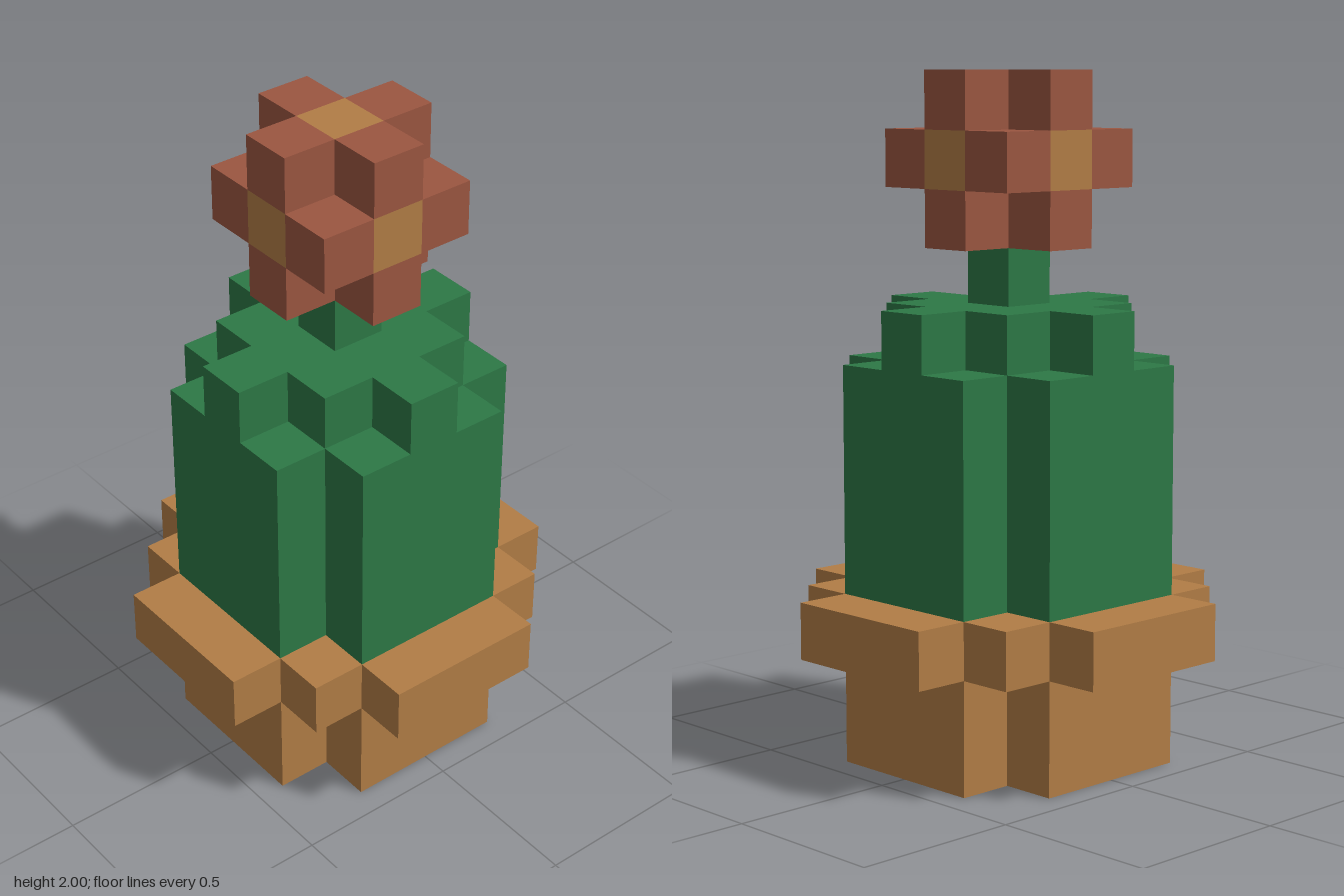
import * as THREE from 'three';

const U = 1 / 6; // one block

const material = (name, color) => {
  const m = new THREE.MeshStandardMaterial({ color });
  m.name = name;
  return m;
};

// Stepped slab: one quadrant's outline corners (in blocks), turned four times, raised from y0 to y1
function slab(name, corners, y0, y1, mat) {
  const points = [];
  for (let turn = 0; turn < 4; turn++) {
    for (const [x, y] of corners) {
      points.push(new THREE.Vector2(x, y).rotateAround(new THREE.Vector2(), turn * Math.PI / 2));
    }
  }
  const geo = new THREE.ExtrudeGeometry(new THREE.Shape(points), { depth: y1 - y0, bevelEnabled: false });
  geo.rotateX(-Math.PI / 2).translate(0, y0, 0).scale(U, U, U);
  const mesh = new THREE.Mesh(geo, mat);
  mesh.name = name;
  return mesh;
}

// Single block whose underside is at y
function block(name, x, y, z, mat) {
  const mesh = new THREE.Mesh(new THREE.BoxGeometry(U, U, U), mat);
  mesh.position.set(x * U, (y + 0.5) * U, z * U);
  mesh.name = name;
  return mesh;
}

export function createModel() {
  const clay = material('clay', 0xb27d46);
  const green = material('cactusGreen', 0x2d7846);
  const red = material('petalRed', 0x9b5641);

  const cross5 = [[2.5, 1.5], [1.5, 1.5], [1.5, 2.5]];
  const cross3 = [[1.5, 0.5], [0.5, 0.5], [0.5, 1.5]];
  const rim = [[3.5, 1.5], [2.5, 1.5], [2.5, 2.5], [1.5, 2.5], [1.5, 3.5]];
  const crown = [[2.5, 0.5], [1.5, 0.5], [1.5, 1.5], [0.5, 1.5], [0.5, 2.5]];

  const model = new THREE.Group();
  model.name = 'pottedCactus';

  // Pot
  const pot = new THREE.Group();
  pot.name = 'pot';
  pot.add(slab('potBase', cross5, 0, 2, clay), slab('potRim', rim, 2, 3, clay));

  // Cactus
  const cactus = new THREE.Group();
  cactus.name = 'cactus';
  cactus.add(
    slab('cactusBody', cross5, 3, 7, green),
    slab('cactusCrown', crown, 7, 8, green),
    block('flowerStem', 0, 8, 0, green)
  );

  // Flower: centre shows between the petals on the sides and the top
  const flower = new THREE.Group();
  flower.name = 'flower';
  flower.add(
    slab('lowerPetals', cross3, 9, 10, red),
    slab('flowerHeart', cross3, 10, 11, clay),
    block('flowerHeartTop', 0, 11, 0, clay)
  );
  for (const s of [-1, 1]) {
    flower.add(block('upperPetal', s, 11, 0, red), block('upperPetal', 0, 11, s, red));
    for (const t of [-1, 1]) flower.add(block('cornerPetal', s, 10, t, red));
  }

  model.add(pot, cactus, flower);
  return model;
}
